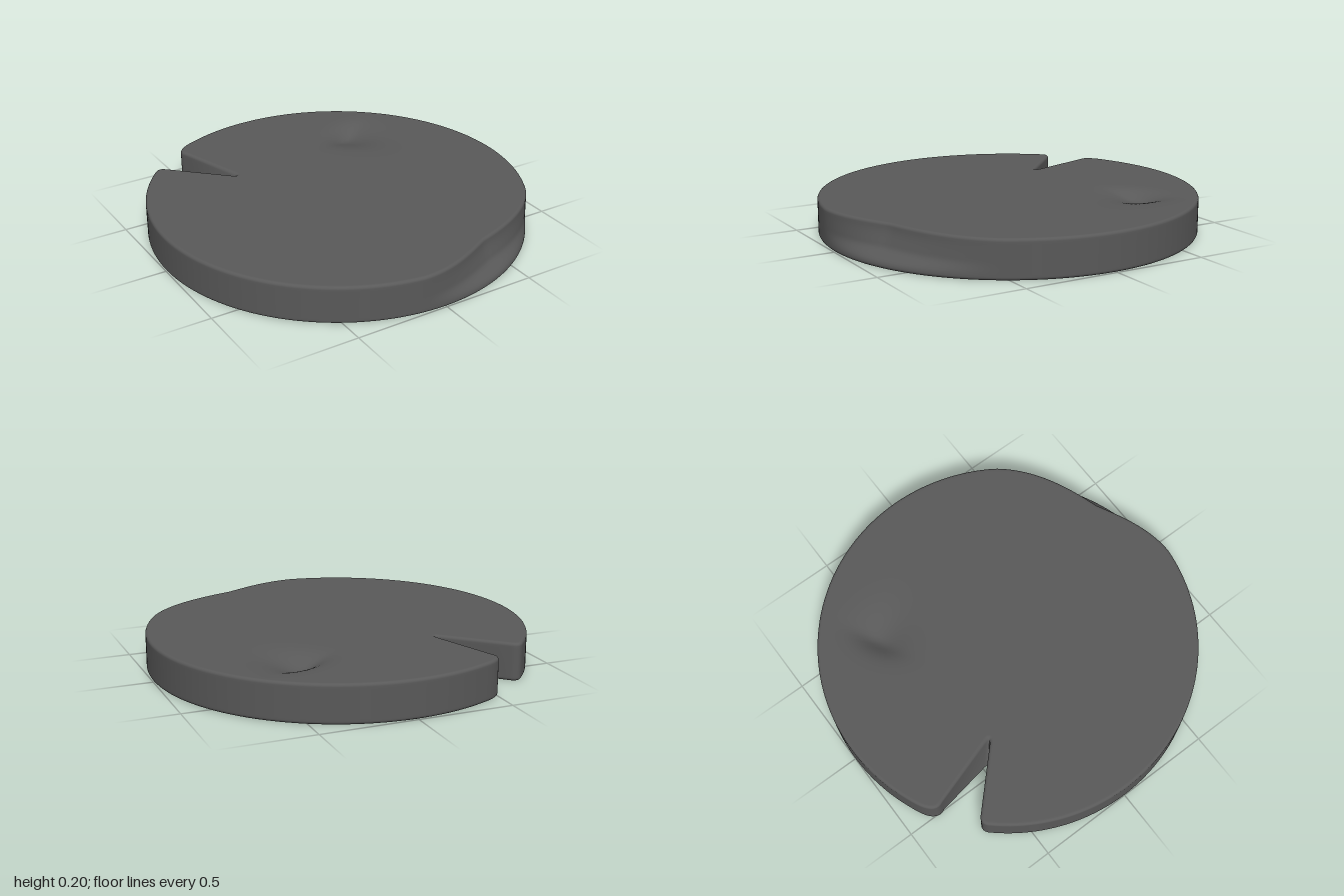
import * as THREE from 'three';

const HEIGHT = 0.2, BEVEL = 0.016;
const POLE = new THREE.Vector2(-0.18, 0.02); // rings shrink towards this point
const V = (x, z) => new THREE.Vector2(x, z);
const smooth = THREE.MathUtils.smoothstep;

// Outline in x/z: a circle with a V notch whose tip lies at the given point
function outline(tip) {
  const l0 = V(-0.745, -0.667), l1 = V(-0.67, -0.678);
  const r0 = V(-0.4, -0.917), r1 = V(-0.5, -0.79);
  const tipR = tip.clone().lerp(r1, 0.12), tipL = tip.clone().lerp(l1, 0.12);
  const line = (a, b) => new THREE.LineCurve(a, b);
  const bend = (a, b, c) => new THREE.QuadraticBezierCurve(a, b, c);
  const parts = [
    [new THREE.EllipseCurve(0, 0, 1, 1, Math.atan2(l0.y, l0.x) + 2 * Math.PI, Math.atan2(r0.y, r0.x), true), 180],
    [bend(r0, V(-0.54, -0.862), r1), 10],
    [line(r1, tipR), 10],
    [bend(tipR, tip, tipL), 8],
    [line(tipL, l1), 10],
    [bend(l1, V(-0.708, -0.715), l0), 10],
  ];
  return parts.flatMap(([curve, n]) => curve.getPoints(n).slice(0, -1));
}

// Soft hollow in the top, steep at its back and gentle at its front
function dent(x, z) {
  const dx = x - 0.41, dz = z + 0.55;
  const u = 0.89 * dx - 0.45 * dz, v = 0.45 * dx + 0.89 * dz;
  return 0.055 * Math.exp(-((u / 0.14) ** 2) - (Math.abs(v) / (v < 0 ? 0.065 : 0.17)) ** 1.6);
}

// Chip in the front rim: pushes the upper edge inwards above a low crease
function chip(x, y, z) {
  const d = THREE.MathUtils.radToDeg(Math.atan2(z, x)) - 69;
  const t = Math.max(0, 1 - Math.abs(d) / (d > 0 ? 28 : 36));
  const along = 0.5 * t + 0.5 * smooth(t, 0, 1);
  const up = 0.6 * smooth(y, 0.02, 0.09) + 0.4 * smooth(y, 0.04, 0.19);
  return 0.09 * along * up * smooth(Math.hypot(x, z), 0.6, 0.98);
}

function discGeometry() {
  // Rings from the top centre, over the rim, to the bottom centre
  const rings = [];
  for (let i = 0; i < 64; i++) rings.push({ s: i / 64, inset: BEVEL, y: HEIGHT });
  for (let i = 0; i <= 5; i++) {
    const a = (i / 5) * Math.PI / 2;
    rings.push({ s: 1, inset: BEVEL * (1 - Math.sin(a)), y: HEIGHT - BEVEL * (1 - Math.cos(a)) });
  }
  for (let i = 1; i < 16; i++) {
    rings.push({ s: 1, inset: 0, y: THREE.MathUtils.lerp(HEIGHT - BEVEL, BEVEL, i / 16) });
  }
  for (let i = 0; i <= 5; i++) {
    const a = (i / 5) * Math.PI / 2;
    rings.push({ s: 1, inset: BEVEL * (1 - Math.cos(a)), y: BEVEL * (1 - Math.sin(a)) });
  }
  for (const s of [0.97, 0.75, 0.5, 0.25, 0]) rings.push({ s, inset: BEVEL, y: 0 });

  const position = [], index = [];
  let count = 0;
  rings.forEach(({ s, inset, y }, j) => {
    // The notch tip slants inwards from bottom to top
    const pts = outline(V(-0.445, -0.455).lerp(V(-0.365, -0.385), y / HEIGHT));
    const n = count = pts.length;
    pts.forEach((p, i) => {
      const t = pts[(i + 1) % n].clone().sub(pts[(i + n - 1) % n]).normalize();
      const q = V(p.x + t.y * inset, p.y - t.x * inset).sub(POLE).multiplyScalar(s).add(POLE);
      const r = q.length() || 1, k = 1 - chip(q.x, y, q.y) / r;
      const drop = y > 0.1 ? dent(q.x, q.y) * smooth(y, 0.1, HEIGHT) : 0;
      position.push(q.x * k, y - drop, q.y * k);
      if (j + 1 < rings.length) {
        const a = j * n + i, b = j * n + (i + 1) % n;
        if (s > 0) index.push(a, b + n, b);
        index.push(a, a + n, b + n);
      }
    });
  });
  const geometry = new THREE.BufferGeometry();
  geometry.setAttribute('position', new THREE.Float32BufferAttribute(position, 3));
  geometry.setIndex(index);
  geometry.computeVertexNormals();
  // Keep the two centre points facing straight up and down
  const normal = geometry.attributes.normal, last = (rings.length - 1) * count;
  for (let i = 0; i < count; i++) {
    normal.setXYZ(i, 0, 1, 0);
    normal.setXYZ(last + i, 0, -1, 0);
  }
  return geometry;
}

export function createModel() {
  const group = new THREE.Group();
  group.name = 'notchedDisc';
  const disc = new THREE.Mesh(discGeometry(), new THREE.MeshStandardMaterial({ color: 0x595959 }));
  disc.name = 'disc';
  group.add(disc);
  return group;
}
